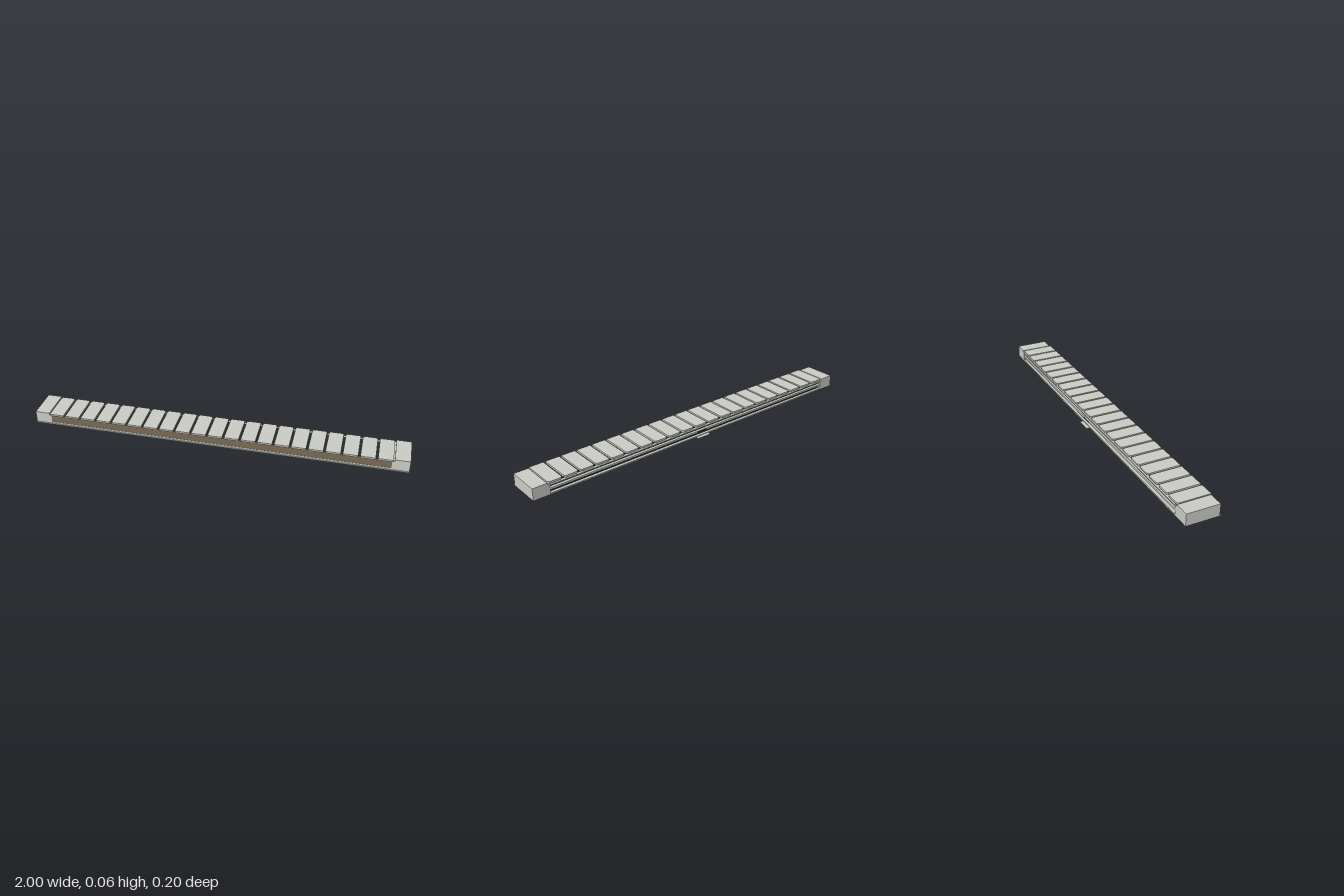
import * as THREE from 'three';

const mat = (name, color) => {
  const m = new THREE.MeshStandardMaterial({ color });
  m.name = name;
  return m;
};

export function createModel() {
  const grey = mat('light grey', 0xcdcdc8);
  const brown = mat('brown', 0x7b6b55);
  const dark = mat('dark teal', 0x1c2e2e);
  const group = new THREE.Group();
  group.name = 'slattedBar';

  // Box given by its minimum and maximum on each axis
  const box = (name, material, [x0, x1], [y0, y1], [z0, z1]) => {
    const mesh = new THREE.Mesh(new THREE.BoxGeometry(x1 - x0, y1 - y0, z1 - z0), material);
    mesh.position.set((x0 + x1) / 2, (y0 + y1) / 2, (z0 + z1) / 2);
    mesh.name = name;
    group.add(mesh);
    return mesh;
  };

  // Base plate and its small rear tab
  box('basePlate', grey, [-1, 1], [0, 0.003], [-0.082, 0.1]);
  box('rearTab', grey, [-0.043, 0.04], [0, 0.003], [-0.1, -0.082]);

  // End blocks, with the upper half notched beside the slats
  for (const s of [-1, 1]) {
    const span = (a) => (s > 0 ? [a, 1] : [-1, -a]);
    box('endBlockLower', grey, span(0.91), [0.003, 0.031], [-0.082, 0.093]);
    box('endBlockMiddle', grey, span(0.91), [0.031, 0.055], [-0.082, 0.093]);
    box('endBlockTop', grey, span(0.922), [0.055, 0.065], [-0.082, 0.093]);
  }

  // Dark core and brown front panel
  const inner = [-0.91, 0.91];
  box('core', dark, inner, [0.003, 0.053], [-0.066, 0.086]);
  box('frontPanel', brown, inner, [0.011, 0.054], [0.086, 0.092]);
  box('frontSill', grey, inner, [0.003, 0.011], [0.086, 0.093]);

  // Rear rails with dark slots between them
  box('rearBottomRail', grey, inner, [0.003, 0.007], [-0.081, -0.066]);
  box('rearMiddleRail', grey, inner, [0.024, 0.034], [-0.081, -0.066]);
  box('rearTopRail', grey, inner, [0.046, 0.051], [-0.081, -0.066]);
  box('rearCatch', dark, [-0.03, 0.03], [0.028, 0.031], [-0.084, -0.081]);

  // Row of slats with clipped rear corners
  const count = 21, pitch = 1.842 / count, w = (pitch - 0.011) / 2;
  const outline = new THREE.Shape([
    [-w, -0.1], [w, -0.1], [w, 0.068], [w - 0.007, 0.077], [-w + 0.007, 0.077], [-w, 0.068],
  ].map(([x, y]) => new THREE.Vector2(x, y)));
  const slat = new THREE.ExtrudeGeometry(outline, { depth: 0.01, bevelEnabled: false });
  slat.rotateX(-Math.PI / 2);
  for (let i = 0; i < count; i++) {
    const mesh = new THREE.Mesh(slat, grey);
    mesh.name = 'slat';
    mesh.position.set((i - (count - 1) / 2) * pitch, 0.055, 0);
    group.add(mesh);
  }
  return group;
}
